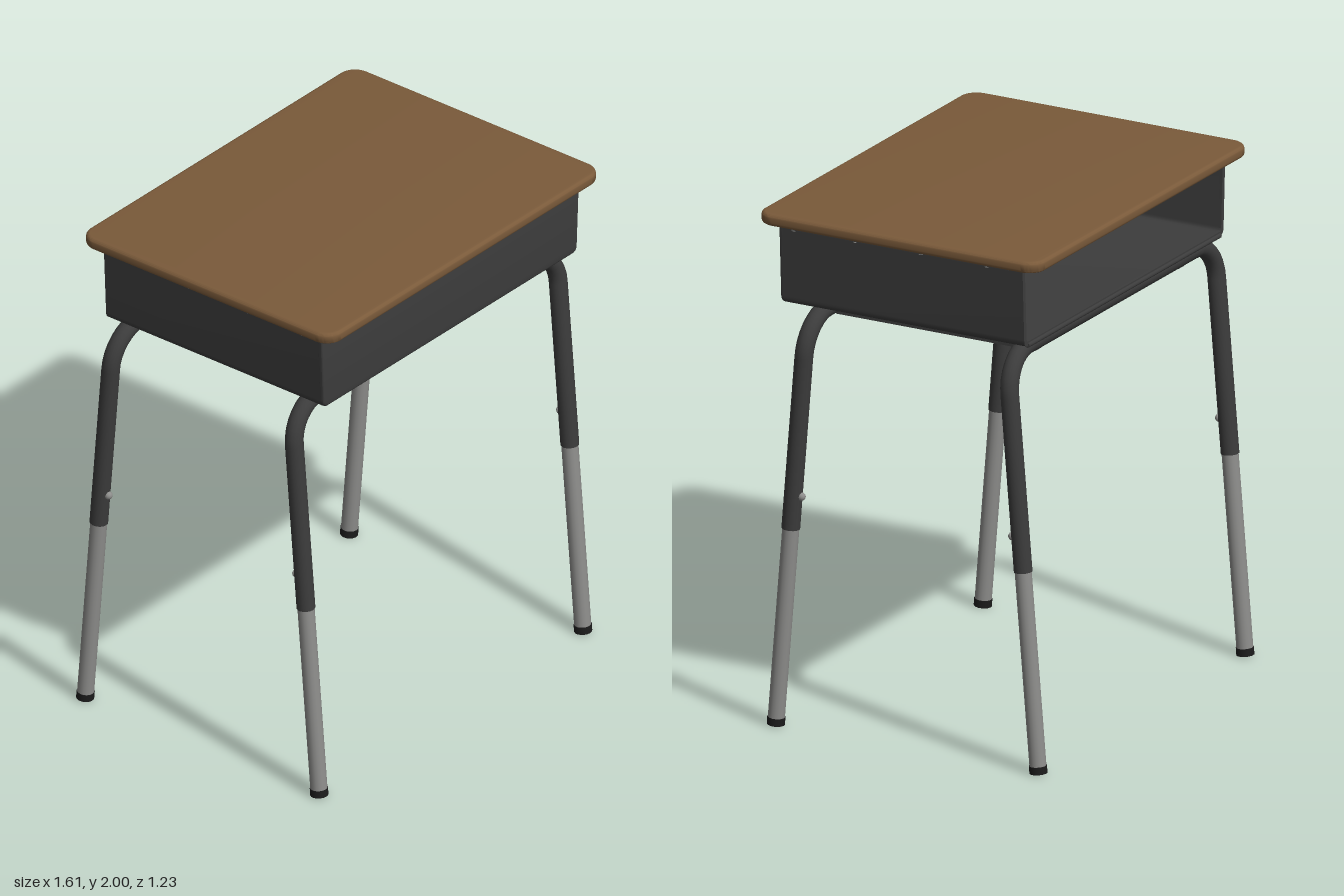
import * as THREE from 'three';
import { toCreasedNormals } from 'three/addons/utils/BufferGeometryUtils.js';

const paint = (name, color, side = THREE.FrontSide) => {
  const m = new THREE.MeshStandardMaterial({ color, side });
  m.name = name;
  return m;
};

export function createModel() {
  const wood = paint('brown wood', 0x7a5a3a);
  const steel = paint('dark steel', 0x3c3c3c, THREE.DoubleSide);
  const chrome = paint('grey metal', 0x8e8e8c);
  const rubber = paint('black rubber', 0x1c1c1c);

  const desk = new THREE.Group();
  desk.name = 'schoolDesk';
  const add = (name, geometry, material, x = 0, y = 0, z = 0) => {
    const mesh = new THREE.Mesh(geometry, material);
    mesh.name = name;
    mesh.position.set(x, y, z);
    desk.add(mesh);
    return mesh;
  };
  const box = (name, w, h, d, x, y, z) => add(name, new THREE.BoxGeometry(w, h, d), steel, x, y, z);

  // Desktop: rounded rectangle with a soft edge
  const bevel = 0.014, hw = 0.8 - bevel, hd = 0.6 - bevel, r = 0.056;
  const slab = new THREE.Shape();
  slab.moveTo(-hw + r, -hd);
  slab.absarc(hw - r, -hd + r, r, -Math.PI / 2, 0);
  slab.absarc(hw - r, hd - r, r, 0, Math.PI / 2);
  slab.absarc(-hw + r, hd - r, r, Math.PI / 2, Math.PI);
  slab.absarc(-hw + r, -hd + r, r, Math.PI, Math.PI * 1.5);
  const topGeo = new THREE.ExtrudeGeometry(slab, {
    depth: 0.045 - 2 * bevel, bevelSize: bevel, bevelThickness: bevel, bevelSegments: 4, curveSegments: 8,
  });
  topGeo.rotateX(-Math.PI / 2);
  add('desktop', toCreasedNormals(topGeo, 0.6), wood, 0, 1.955 + bevel, 0.01);

  // Book box: tapered U section, closed at the front and open at the back
  const trace = (shape, inset, reverse) => {
    const top = 0.755 - inset, bot = 0.742 - inset, y0 = 1.642 + inset, c = 0.03 - inset;
    const s = reverse ? -1 : 1;
    shape.lineTo(-s * top, 1.956);
    shape.lineTo(-s * bot, y0 + c);
    shape.quadraticCurveTo(-s * bot, y0, -s * (bot - c), y0);
    shape.lineTo(s * (bot - c), y0);
    shape.quadraticCurveTo(s * bot, y0, s * bot, y0 + c);
    shape.lineTo(s * top, 1.956);
  };
  const section = (thickness) => {
    const shape = new THREE.Shape();
    shape.moveTo(-0.755, 1.956);
    trace(shape, 0, false);
    trace(shape, thickness, true);
    return shape;
  };
  const extrude = (shape, depth) => toCreasedNormals(
    new THREE.ExtrudeGeometry(shape, { depth, bevelEnabled: false, curveSegments: 6 }), 0.6);
  add('bookBoxShell', extrude(section(0.01), 1.02), steel, 0, 0, -0.5);
  add('bookBoxBackRim', extrude(section(0.018), 0.012), steel, 0, 0, -0.505);

  // Front panel with softened edges
  const panel = new THREE.Shape();
  panel.moveTo(-0.743, 1.944);
  panel.lineTo(-0.73, 1.672);
  panel.quadraticCurveTo(-0.73, 1.654, -0.712, 1.654);
  panel.lineTo(0.712, 1.654);
  panel.quadraticCurveTo(0.73, 1.654, 0.73, 1.672);
  panel.lineTo(0.743, 1.944);
  const panelGeo = new THREE.ExtrudeGeometry(panel, {
    depth: 0.004, bevelSize: 0.012, bevelThickness: 0.012, bevelSegments: 3, curveSegments: 6,
  });
  add('bookBoxFront', toCreasedNormals(panelGeo, 0.6), steel, 0, 0, 0.519);

  // Rolled hem along the open edge
  const hem = new THREE.CylinderGeometry(0.01, 0.01, 1.43, 10);
  hem.rotateZ(Math.PI / 2);
  add('bookBoxHem', hem, steel, 0, 1.645, -0.503);

  // Fixing flanges and screws under the desktop
  const screw = new THREE.CylinderGeometry(0.009, 0.009, 0.006, 10);
  box('frontFlange', 1.46, 0.006, 0.05, 0, 1.952, 0.548);
  for (const x of [-0.51, -0.17, 0.17, 0.51]) add('flangeScrew', screw, chrome, x, 1.947, 0.556);
  for (const s of [-1, 1]) {
    box('sideFlange', 0.04, 0.006, 0.92, s * 0.76, 1.952, 0);
    for (const z of [-0.36, -0.08, 0.2, 0.46]) add('flangeScrew', screw, chrome, s * 0.768, 1.947, z);

    // Cross rails joining the two leg frames
    box('railWeb', 0.008, 0.077, 0.85, s * 0.55, 1.6035, -0.02);
    box('railFoot', 0.044, 0.008, 0.85, s * 0.532, 1.569, -0.02);
    box('railFlange', 0.1, 0.008, 0.85, s * 0.504, 1.638, -0.02);
    for (const z of [-0.28, -0.02, 0.24]) add('railScrew', screw, chrome, s * 0.475, 1.631, z);
  }

  // Straight tube between two points
  const up = new THREE.Vector3(0, 1, 0);
  const rod = (name, a, b, radius, material) => {
    const dir = b.clone().sub(a);
    const mesh = add(name, new THREE.CylinderGeometry(radius, radius, dir.length(), 16), material);
    mesh.position.copy(a).add(b).multiplyScalar(0.5);
    mesh.quaternion.setFromUnitVectors(up, dir.normalize());
  };

  // Two splayed frames, each a bent tube with sliding lower legs
  const barY = 1.61, legX = 0.77, bend = 0.15, k = 0.5523;
  for (const [name, zTop, zFoot] of [['front', 0.405, 0.537], ['back', -0.447, -0.582]]) {
    const at = (x, y) => new THREE.Vector3(x, y, zFoot + (zTop - zFoot) * y / barY);
    const path = new THREE.CurvePath();
    const corner = barY - bend, inner = legX - bend;
    path.add(new THREE.LineCurve3(at(-legX, 0.78), at(-legX, corner)));
    path.add(new THREE.CubicBezierCurve3(
      at(-legX, corner), at(-legX, corner + k * bend), at(-inner - k * bend, barY), at(-inner, barY)));
    path.add(new THREE.LineCurve3(at(-inner, barY), at(inner, barY)));
    path.add(new THREE.CubicBezierCurve3(
      at(inner, barY), at(inner + k * bend, barY), at(legX, corner + k * bend), at(legX, corner)));
    path.add(new THREE.LineCurve3(at(legX, corner), at(legX, 0.78)));
    add(name + 'LegFrame', new THREE.TubeGeometry(path, 100, 0.035, 16), steel);

    for (const x of [-legX, legX]) {
      rod(name + 'LegCollar', at(x, 0.78), at(x, 0.8), 0.0348, steel);
      rod(name + 'LowerLeg', at(x, 0.02), at(x, 0.79), 0.032, chrome);
      rod(name + 'Foot', at(x, 0.003), at(x, 0.032), 0.034, rubber);
      // Height-adjustment bolt on the inward side
      const p = at(x, 0.91);
      add(name + 'LegBolt', new THREE.SphereGeometry(0.016, 12, 8), chrome,
        x, 0.91, p.z - Math.sign(zTop) * 0.035);
    }
  }
  return desk;
}
